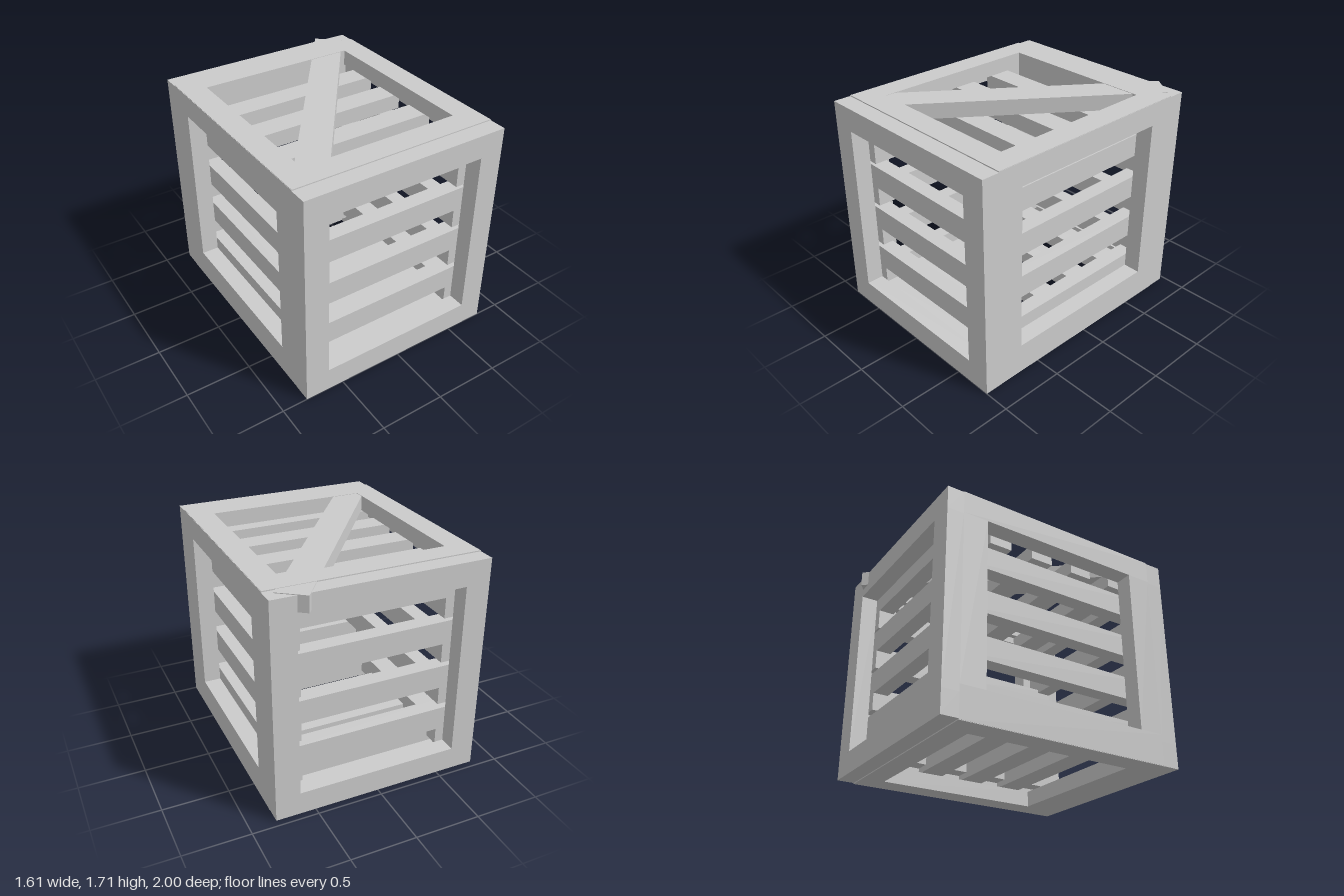
import * as THREE from 'three';

const material = new THREE.MeshStandardMaterial({ color: 0xcccccc, flatShading: true });

// Board spanning two opposite corners [x, y, z]
function board(parent, name, min, max) {
  const s = max.map((v, i) => v - min[i]);
  const mesh = new THREE.Mesh(new THREE.BoxGeometry(...s), material);
  mesh.name = name;
  mesh.position.set(...min.map((v, i) => v + s[i] / 2));
  parent.add(mesh);
  return mesh;
}

// Rectangular frame of four boards: axis is the thin direction, u and v span the panel
function frame(parent, name, axis, [t0, t1], [u0, u1], [v0, v1], [hu0, hu1], [hv0, hv1]) {
  const group = new THREE.Group();
  group.name = name;
  parent.add(group);
  const at = (t, u, v) => (axis === 'x' ? [t, v, u] : axis === 'y' ? [u, t, v] : [u, v, t]);
  const add = (part, a, b, c, d) => board(group, part, at(t0, a, b), at(t1, c, d));
  add('lowRail', u0, v0, u1, hv0);
  add('highRail', u0, hv1, u1, v1);
  add('lowStile', u0, hv0, hu0, hv1);
  add('highStile', hu1, hv0, u1, hv1);
}

export function createModel() {
  const model = new THREE.Group();
  model.name = 'slattedCrate';

  // Outer frames
  frame(model, 'frontFrame', 'z', [0.865, 1], [-0.805, 0.805], [0, 1.7], [-0.62, 0.62], [0.185, 1.52]);
  frame(model, 'backFrame', 'z', [-0.955, -0.825], [-0.805, 0.805], [0.008, 1.7], [-0.62, 0.62], [0.185, 1.52]);
  frame(model, 'topFrame', 'y', [1.585, 1.708], [-0.803, 0.803], [-0.825, 0.865], [-0.62, 0.62], [-0.655, 0.68]);
  frame(model, 'bottomFrame', 'y', [0, 0.125], [-0.803, 0.803], [-0.825, 0.865], [-0.62, 0.62], [-0.655, 0.665]);
  for (const [name, t] of [['leftFrame', [0.67, 0.805]], ['rightFrame', [-0.805, -0.67]]]) {
    frame(model, name, 'x', t, [-0.825, 0.865], [0.003, 1.705], [-0.63, 0.67], [0.24, 1.53]);
  }

  // Inner slats, interleaved where neighbouring walls meet
  const pitch = 0.365, width = 0.182;
  for (let i = 0; i < 4; i++) {
    const yEnd = 0.302 + i * pitch;
    board(model, 'frontSlat', [-0.67, yEnd, 0.745], [0.67, yEnd + width, 0.865]);
    board(model, 'backSlat', [-0.67, yEnd, -0.825], [0.67, yEnd + width, -0.705]);

    const ySide = 0.17 + i * 0.356;
    board(model, 'leftSlat', [0.55, ySide, -0.825], [0.67, ySide + 0.178, 0.865]);
    board(model, 'rightSlat', [-0.67, ySide, -0.825], [-0.55, ySide + 0.178, 0.865]);

    const zTop = -0.527 + i * pitch;
    board(model, 'topSlat', [-0.67, 1.465, zTop], [0.67, 1.585, zTop + width]);
    board(model, 'bottomSlat', [-0.67, 0.125, zTop - width], [0.67, 0.245, zTop]);
  }

  // Diagonal brace across the lid, its end poking out at the back
  const a = new THREE.Vector2(-0.628, 0.8), b = new THREE.Vector2(0.648, -0.933);
  const length = a.distanceTo(b);
  const brace = new THREE.Mesh(new THREE.BoxGeometry(0.226, 0.12, length), material);
  brace.name = 'diagonalBrace';
  brace.position.set((a.x + b.x) / 2, 1.645, (a.y + b.y) / 2);
  brace.rotation.y = Math.atan2(a.x - b.x, a.y - b.y);
  model.add(brace);

  return model;
}
